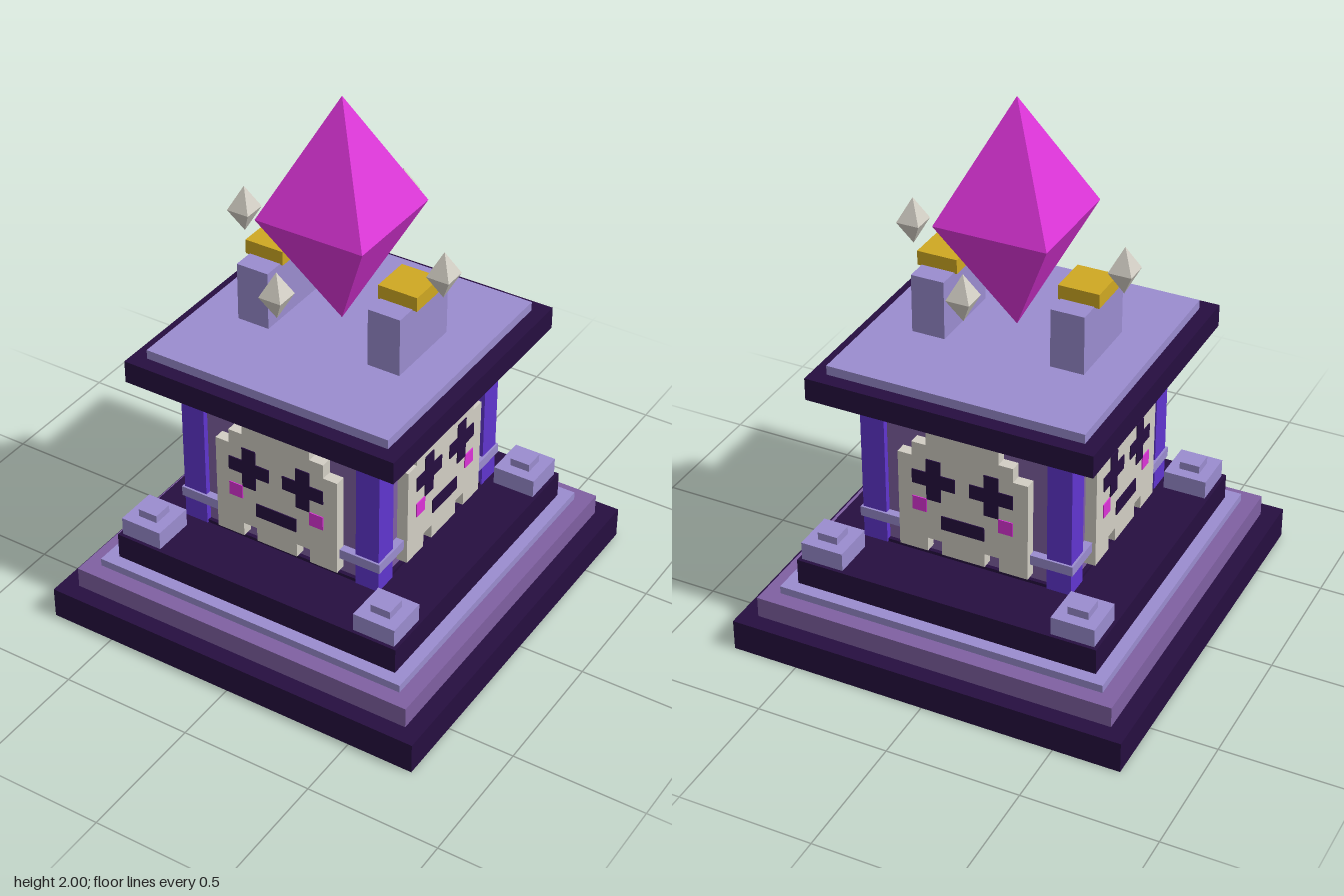
import * as THREE from 'three';

export function createModel() {
  const model = new THREE.Group();
  model.name = 'crystalShrine';

  const mat = (name, color) => {
    const m = new THREE.MeshStandardMaterial({ color });
    m.name = name;
    return m;
  };
  const dark = mat('dark violet', 0x260e40);
  const plum = mat('plum', 0x7f60a2);
  const lavender = mat('lavender', 0x9a8ccf);
  const violet = mat('bright violet', 0x6035cf);
  const bone = mat('bone', 0xd2cec4);
  const gold = mat('gold', 0xcfa822);
  const magenta = mat('magenta', 0xdc34d8);

  const add = (parent, name, geometry, material) => {
    const mesh = new THREE.Mesh(geometry, material);
    mesh.name = name;
    parent.add(mesh);
    return mesh;
  };
  // Box given by its limits on each axis
  const box = (parent, name, material, x0, x1, y0, y1, z0, z1) => {
    const g = new THREE.BoxGeometry(x1 - x0, y1 - y0, z1 - z0);
    g.translate((x0 + x1) / 2, (y0 + y1) / 2, (z0 + z1) / 2);
    return add(parent, name, g, material);
  };
  const slab = (name, material, half, y0, y1) =>
    box(model, name, material, -half, half, y0, y1, -half, half);
  // Square bipyramid with its sides facing the axes
  const crystal = (name, material, x, z, half, y0, y1) => {
    const g = new THREE.OctahedronGeometry(1);
    g.rotateY(Math.PI / 4);
    g.scale(half * Math.SQRT2, (y1 - y0) / 2, half * Math.SQRT2);
    add(model, name, g, material).position.set(x, (y0 + y1) / 2, z);
  };

  // Stepped base
  slab('baseStep', dark, 0.75, 0, 0.12);
  slab('middleStep', plum, 0.685, 0.12, 0.2);
  slab('stepTrim', lavender, 0.625, 0.2, 0.23);
  slab('upperStep', dark, 0.578, 0.23, 0.33);

  // Floating body and roof
  slab('bodyCore', dark, 0.365, 0.378, 0.985);
  slab('bodyFloor', dark, 0.395, 0.378, 0.39);
  slab('bodyWalls', plum, 0.38, 0.39, 0.905);
  slab('roof', dark, 0.535, 0.985, 1.07);
  slab('roofPlate', lavender, 0.48, 1.07, 1.105);

  // Four corners: pillar with its band, and a stud on the base
  for (const sx of [-1, 1]) {
    for (const sz of [-1, 1]) {
      const corner = (name, material, a, b, y0, y1) => {
        const s = b - a;
        const g = new THREE.BoxGeometry(s, y1 - y0, s);
        add(model, name, g, material)
          .position.set(sx * (a + b) / 2, (y0 + y1) / 2, sz * (a + b) / 2);
      };
      corner('pillar', violet, 0.31, 0.402, 0.38, 0.985);
      corner('pillarBand', lavender, 0.25, 0.41, 0.468, 0.506);
      corner('cornerStud', lavender, 0.402, 0.565, 0.33, 0.4);
      corner('cornerStudCap', lavender, 0.445, 0.522, 0.4, 0.43);
    }
  }

  // Pixel mask on a 9 x 9 grid, one on each wall
  const P = 0.055, TOP = 0.905, FRONT = 0.422;
  const gx = c => (c - 4.5) * P;
  const gy = r => TOP - r * P;
  const half = [[4.5, 0], [7, 0], [7, 1], [8, 1], [8, 2], [9, 2], [9, 9], [7, 9], [7, 8], [6, 8], [6, 9], [4.5, 9]];
  const outline = [...half.slice(1, -1), ...half.slice(1, -1).reverse().map(([c, r]) => [9 - c, r])];
  const maskShape = new THREE.Shape(outline.map(([c, r]) => new THREE.Vector2(gx(c), gy(r))));
  const maskGeometry = new THREE.ExtrudeGeometry(maskShape, { depth: FRONT - 0.375, bevelEnabled: false });
  maskGeometry.translate(0, 0, 0.375);

  for (let i = 0; i < 4; i++) {
    const face = new THREE.Group();
    face.name = 'maskFace';
    face.rotation.y = i * Math.PI / 2;
    model.add(face);
    add(face, 'mask', maskGeometry, bone);
    const paint = (name, material, c0, c1, r0, r1) =>
      box(face, name, material, gx(c0), gx(c1), gy(r1), gy(r0), FRONT - 0.001, FRONT + 0.004);
    for (const c of [1, 5]) {
      paint('eyeBar', dark, c, c + 3, 3, 4);
      paint('eyeTop', dark, c + 1, c + 2, 2, 3);
      paint('eyeBottom', dark, c + 1, c + 2, 4, 5);
    }
    paint('cheek', magenta, 1, 2, 5, 6);
    paint('cheek', magenta, 7, 8, 5, 6);
    paint('mouth', dark, 3, 6, 6, 7);
  }

  // Crystal cradle: two blocks with gold caps
  for (const s of [-1, 1]) {
    const cradle = new THREE.Group();
    cradle.name = 'cradle';
    cradle.rotation.y = s > 0 ? 0 : Math.PI;
    model.add(cradle);
    box(cradle, 'cradleBlock', lavender, 0.2, 0.325, 1.108, 1.33, -0.156, 0.156);
    box(cradle, 'cradleCap', gold, 0.19, 0.342, 1.326, 1.38, -0.077, 0.077);
  }

  // Large crystal and four small ones floating round it
  crystal('mainCrystal', magenta, 0, 0, 0.21, 1.14, 2);
  for (const [x, z] of [[0.397, 0], [-0.397, 0], [0, 0.397], [0, -0.397]]) {
    crystal('smallCrystal', bone, x, z, 0.043, 1.36, 1.537);
  }

  return model;
}
